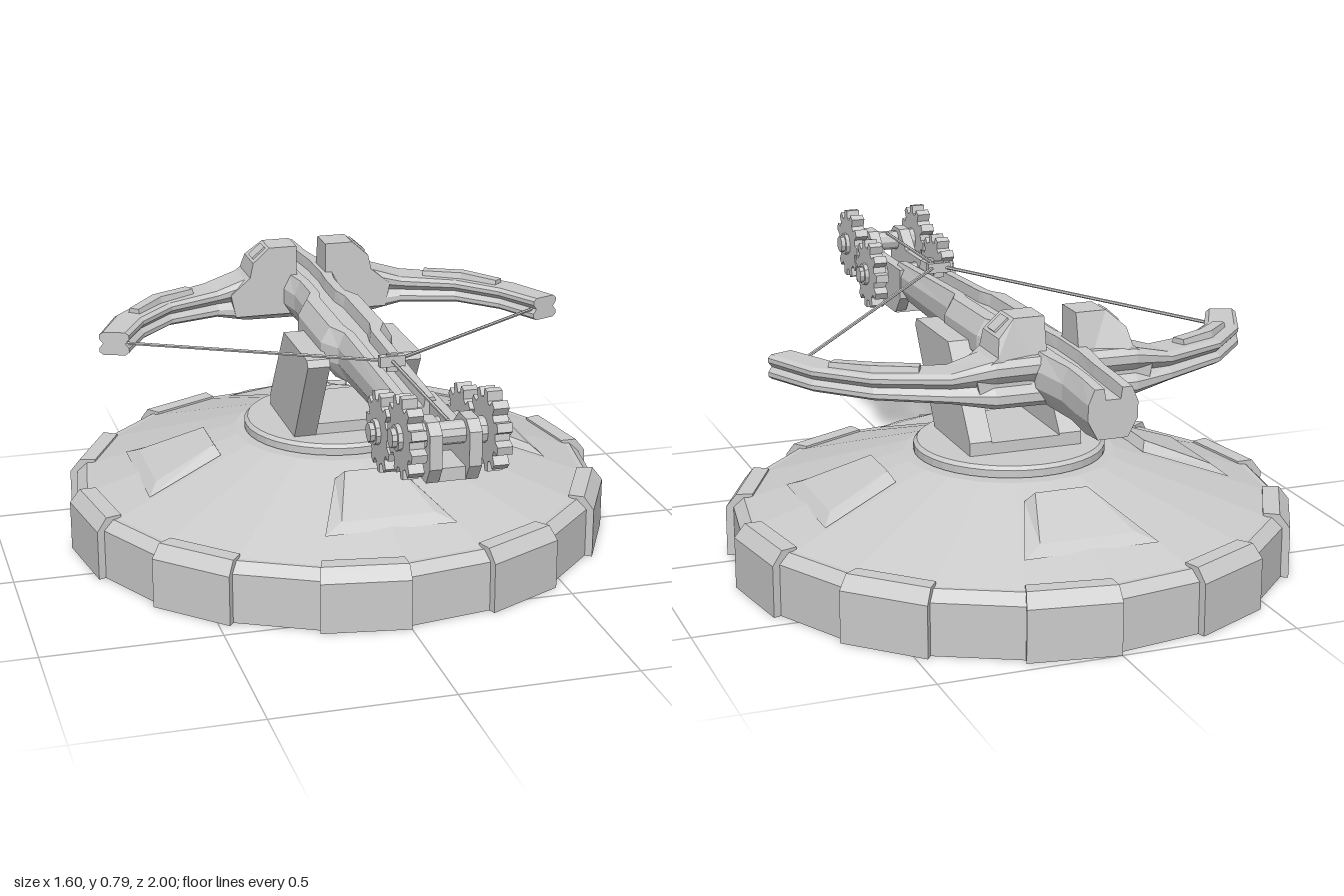
import * as THREE from 'three';

const mat = new THREE.MeshStandardMaterial({ color: 0xcccccc, flatShading: true, side: THREE.DoubleSide });
const V = (x, y, z) => new THREE.Vector3(x, y, z);

function add(parent, name, geo, x = 0, y = 0, z = 0) {
  const m = new THREE.Mesh(geo, mat);
  m.name = name;
  m.position.set(x, y, z);
  parent.add(m);
  return m;
}

// Skin between successive rings of points; caps given as triangle indices
function skin(rings, closedRing, caps = []) {
  const n = rings[0].length, pos = [], idx = [];
  rings.forEach(r => r.forEach(p => pos.push(p.x, p.y, p.z)));
  for (let i = 0; i < rings.length - 1; i++)
    for (let j = 0; j < (closedRing ? n : n - 1); j++) {
      const a = i * n + j, b = i * n + (j + 1) % n;
      idx.push(a, b, b + n, a, b + n, a + n);
    }
  const last = (rings.length - 1) * n;
  caps.forEach(([a, b, c]) => idx.push(a, c, b, last + a, last + b, last + c));
  const g = new THREE.BufferGeometry();
  g.setAttribute('position', new THREE.Float32BufferAttribute(pos, 3));
  g.setIndex(idx);
  g.computeVertexNormals();
  return g;
}

// Sweep a unit profile; each station is [x, y, z, heading in degrees, half width, half height]
function sweep(profile, stations) {
  const rings = stations.map(([x, y, z, deg, w, h]) => {
    const a = deg * Math.PI / 180;
    return profile.map(([u, v]) => V(x + u * w * Math.cos(a), y + v * h, z - u * w * Math.sin(a)));
  });
  const caps = THREE.ShapeUtils.triangulateShape(profile.map(p => new THREE.Vector2(...p)), []);
  return skin(rings, true, caps);
}

const shapeOf = pts => new THREE.Shape(pts.map(p => new THREE.Vector2(...p)));
const extrude = (pts, depth) => new THREE.ExtrudeGeometry(shapeOf(pts), { depth, bevelEnabled: false });
// Outline in (z, y), extruded from x0 to x1
const extrudeX = (pts, x0, x1) => extrude(pts, x1 - x0).rotateY(-Math.PI / 2).translate(x1, 0, 0);

function rod(parent, name, a, b, r, sides = 6) {
  const m = add(parent, name, new THREE.CylinderGeometry(r, r, a.distanceTo(b), sides));
  m.position.copy(a).lerp(b, 0.5);
  m.quaternion.setFromUnitVectors(V(0, 1, 0), b.clone().sub(a).normalize());
  return m;
}

function gearOutline(teeth, root, tip) {
  const pts = [], step = Math.PI * 2 / teeth;
  for (let i = 0; i < teeth; i++)
    [[0, root], [0.3, root], [0.42, tip], [0.8, tip], [0.92, root]].forEach(([f, r]) =>
      pts.push([r * Math.cos((i + f) * step), r * Math.sin((i + f) * step)]));
  return pts;
}

function buildBase() {
  const g = new THREE.Group();
  g.name = 'base';
  g.position.z = -0.2;
  // Rim of twenty panels, every second one standing proud
  const rings = [];
  for (let k = 0; k <= 20; k++)
    for (const s of [k - 1, k]) {
      const out = Math.abs(s) % 2, r = out ? 0.802 : 0.78, top = out ? 0.183 : 0.173, a = k * Math.PI / 10;
      rings.push([[r, 0], [r, 0.145], [r - 0.03, top], [0.725, top], [0.725, 0.15]]
        .map(([q, y]) => V(q * Math.sin(a), y, q * Math.cos(a))).reverse());
    }
  add(g, 'rimPanels', skin(rings, false));
  const pt = (r, y) => new THREE.Vector2(r, y);
  add(g, 'domeShell', new THREE.LatheGeometry([pt(0.74, 0.172), pt(0.3, 0.308), pt(0, 0.308)], 20));
  add(g, 'turntable', new THREE.LatheGeometry([
    pt(0.235, 0.3), pt(0.235, 0.312), pt(0.27, 0.312), pt(0.27, 0.333), pt(0.26, 0.343), pt(0, 0.343)], 40));
  // Four raised trapezoid pads on the dome
  const low = [V(-0.1, 0.285, 0.37), V(-0.19, 0.212, 0.6), V(0.19, 0.212, 0.6), V(0.1, 0.285, 0.37)];
  const high = [V(-0.075, 0.311, 0.385), V(-0.135, 0.237, 0.57), V(0.135, 0.237, 0.57), V(0.075, 0.311, 0.385)];
  for (let i = 0; i < 4; i++)
    add(g, 'domePad', skin([low, high], true, [[0, 1, 2], [0, 2, 3]])).rotation.y = i * Math.PI / 2;
  return g;
}

function buildMount() {
  const g = new THREE.Group();
  g.name = 'mount';
  const leg = [[-0.33, 0.34], [-0.04, 0.34], [0.125, 0.605], [0.115, 0.625], [-0.155, 0.625], [-0.33, 0.38]];
  for (const s of [-1, 1]) {
    add(g, 'mountLeg', extrudeX(leg, 0.1, 0.165)).scale.x = s;
  }
  add(g, 'mountPlate', new THREE.BoxGeometry(0.2, 0.035, 0.29), 0, 0.358, -0.185);
  return g;
}

function buildStock() {
  const half = [[0.6, -1], [1, -0.25], [1, 0.4], [0.75, 1], [0.36, 1], [0.3, 0.55]];
  const profile = [...half, ...half.map(([x, y]) => [-x, y]).reverse()];
  return sweep(profile, [
    [0, 0.62, -0.915, 0, 0.068, 0.066], [0, 0.62, -0.83, 0, 0.066, 0.073], [0, 0.627, -0.74, 0, 0.066, 0.07],
    [0, 0.63, -0.62, 0, 0.088, 0.07], [0, 0.632, -0.48, 0, 0.088, 0.069], [0, 0.628, -0.4, 0, 0.07, 0.073],
    [0, 0.624, -0.28, 0, 0.07, 0.076], [0, 0.622, -0.22, 0, 0.105, 0.077], [0, 0.62, 0.04, 0, 0.105, 0.075],
    [0, 0.619, 0.1, 0, 0.07, 0.073], [0, 0.615, 0.62, 0, 0.064, 0.055]]);
}

function buildBowHalf() {
  const g = new THREE.Group();
  g.name = 'bowHalf';
  // Limb with grooved sides
  const right = [[0.75, -1], [1, -0.75], [1, -0.4], [0.75, 0], [1, 0.4], [1, 0.75], [0.75, 1]];
  const profile = [...right, ...right.map(([x, y]) => [-x, y]).reverse()];
  add(g, 'limb', sweep(profile, [
    [0.05, 0.627, -0.55, 90, 0.075, 0.066], [0.2, 0.627, -0.55, 90, 0.075, 0.064],
    [0.3, 0.622, -0.535, 78, 0.063, 0.04], [0.47, 0.622, -0.462, 58, 0.055, 0.034],
    [0.585, 0.62, -0.34, 38, 0.049, 0.033], [0.655, 0.62, -0.195, 20, 0.043, 0.034]]));
  add(g, 'limbStrip', sweep([[0.7, -1], [0.5, 1], [-0.5, 1], [-0.7, -1]], [
    [0.37, 0.66, -0.51, 64, 0.035, 0.014], [0.48, 0.66, -0.455, 56, 0.035, 0.014],
    [0.565, 0.655, -0.365, 41, 0.03, 0.012]]));
  // Clamp housing beside the stock
  const outline = [[0.045, 0.58], [0.235, 0.58], [0.25, 0.65], [0.19, 0.7], [0.18, 0.745], [0.13, 0.79], [0.045, 0.79]];
  const clamp = extrude(outline, 0.14).translate(0, 0, -0.61);
  const p = clamp.attributes.position;
  for (let i = 0; i < p.count; i++)
    if (p.getY(i) > 0.73 && p.getZ(i) < -0.5) p.setZ(i, p.getZ(i) + (p.getY(i) - 0.7) * 0.5);
  clamp.computeVertexNormals();
  add(g, 'limbClamp', clamp);
  add(g, 'clampPanel', new THREE.BoxGeometry(0.05, 0.012, 0.05), 0.155, 0.767, -0.52).rotation.z = -0.73;
  // Bowstring, from the limb tip to the nock
  rod(g, 'bowstring', V(0.63, 0.615, -0.215), V(0.02, 0.7, 0.385), 0.005);
  return g;
}

function buildWinch() {
  const g = new THREE.Group();
  g.name = 'winch';
  const frame = [[0.55, 0.57], [0.6, 0.515], [0.7, 0.515], [0.74, 0.555], [0.92, 0.555], [0.95, 0.6],
    [0.95, 0.69], [0.92, 0.715], [0.86, 0.715], [0.8, 0.66], [0.55, 0.66]];
  for (const s of [-1, 1]) add(g, 'winchFrame', extrudeX(frame, 0.035, 0.068)).scale.x = s;
  add(g, 'frontCrossbar', new THREE.BoxGeometry(0.09, 0.035, 0.12), 0, 0.573, 0.86);
  add(g, 'rearCrossbar', new THREE.BoxGeometry(0.13, 0.04, 0.11), 0, 0.535, 0.65);
  const teeth = gearOutline(11, 0.083, 0.107);
  for (const [y, z, turn] of [[0.675, 0.895, 0], [0.62, 0.7, 0.12]]) {
    rod(g, 'axle', V(-0.155, y, z), V(0.155, y, z), 0.025, 10);
    for (const s of [-1, 1]) {
      const gear = add(g, 'gear', extrudeX(teeth, -0.02, 0.02), s * 0.11, y, z);
      gear.rotation.x = turn;
      rod(g, 'gearHub', V(s * 0.068, y, z), V(s * 0.142, y, z), 0.034, 10);
    }
  }
  rod(g, 'windingDrum', V(-0.035, 0.675, 0.895), V(0.035, 0.675, 0.895), 0.03, 10);
  // Draw rope and nock
  rod(g, 'drawRope', V(0, 0.702, 0.88), V(0, 0.7, 0.39), 0.005);
  add(g, 'nock', new THREE.BoxGeometry(0.07, 0.03, 0.022), 0, 0.7, 0.39);
  add(g, 'nockPin', new THREE.BoxGeometry(0.03, 0.05, 0.012), 0, 0.695, 0.39);
  return g;
}

export function createModel() {
  const model = new THREE.Group();
  model.name = 'mountedCrossbow';
  model.add(buildBase(), buildMount(), buildWinch());
  add(model, 'stock', buildStock());
  for (const s of [-1, 1]) {
    const bow = buildBowHalf();
    bow.scale.x = s;
    model.add(bow);
  }
  return model;
}
